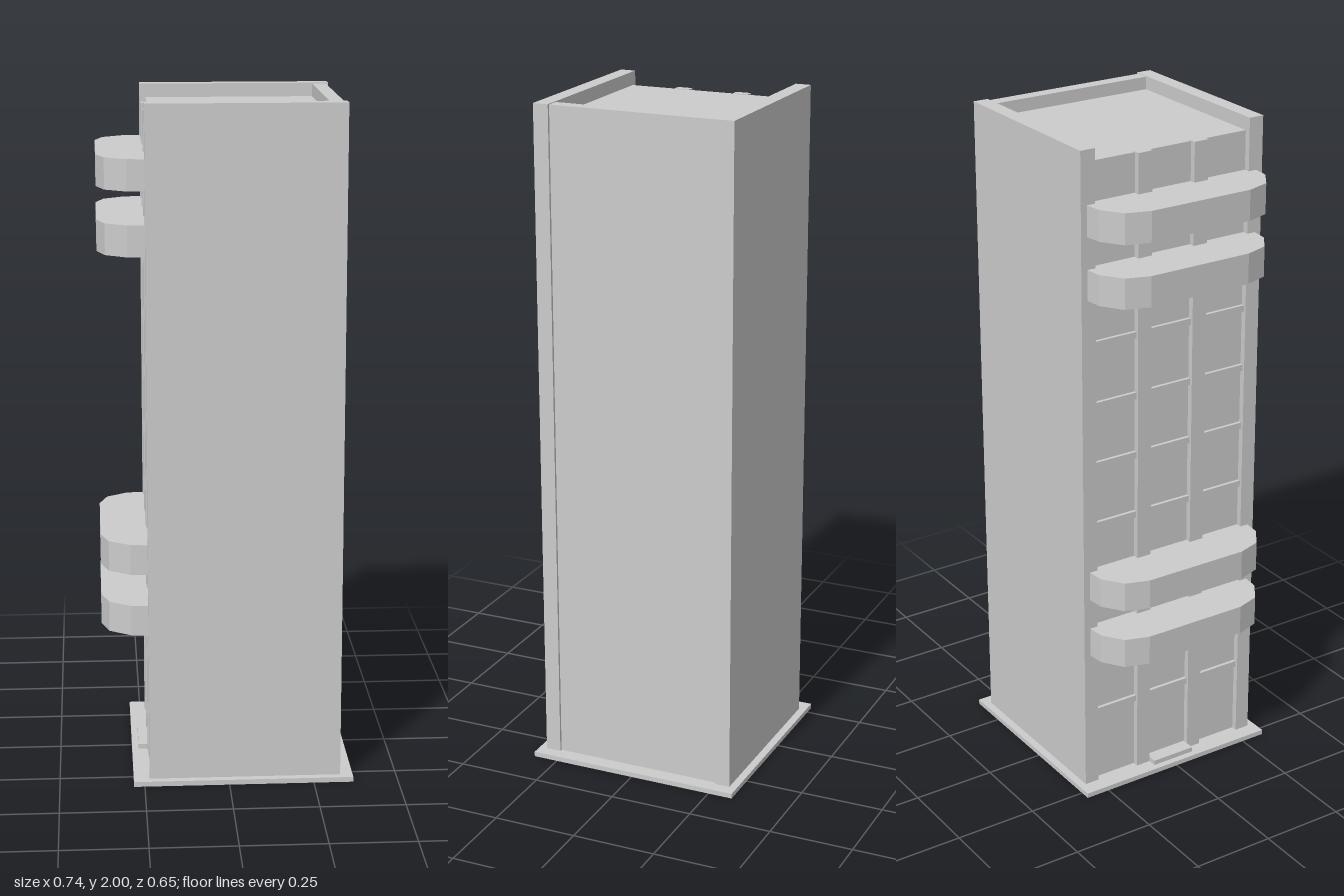
import * as THREE from 'three';

const material = new THREE.MeshStandardMaterial({ color: 0xcccccc, flatShading: true });

export function createModel() {
  const tower = new THREE.Group();
  tower.name = 'towerBlock';

  function add(name, geometry) {
    const mesh = new THREE.Mesh(geometry, material);
    mesh.name = name;
    tower.add(mesh);
    return mesh;
  }

  // Box given by its limits on each axis
  function box(name, x0, x1, y0, y1, z0, z1) {
    add(name, new THREE.BoxGeometry(x1 - x0, y1 - y0, z1 - z0))
      .position.set((x0 + x1) / 2, (y0 + y1) / 2, (z0 + z1) / 2);
  }

  // Ground plate and entrance step
  box('basePlate', -0.282, 0.367, 0, 0.015, -0.325, 0.325);
  box('entranceStep', -0.262, -0.215, 0.01, 0.03, -0.07, 0.07);

  // Core: its top is the sunken roof, its -x face the recessed facade
  box('core', -0.217, 0.29, 0.01, 1.96, -0.26, 0.26);

  // Outer walls, standing above the roof as a parapet on three sides
  box('rearWall', 0.282, 0.322, 0.01, 1.998, -0.256, 0.256);
  for (const s of [-1, 1]) {
    const z = [s * 0.256, s * 0.302].sort((a, b) => a - b);
    box('sideWall', -0.235, 0.33, 0.01, 2, z[0], z[1]);
  }

  // Vertical facade ribs
  for (const z of [-0.093, 0.093]) {
    box('facadeRib', -0.235, -0.21, 0.01, 1.962, z - 0.023, z + 0.023);
  }

  // Thin floor bands between the ribs
  for (const y of [0.25, 0.87, 1.06, 1.245, 1.43]) {
    box('floorBand', -0.227, -0.21, y - 0.01, y + 0.01, -0.256, 0.256);
  }

  // Solid balconies with faceted ends, drawn in plan and extruded upward
  const half = [[-0.215, 0.283], [-0.235, 0.282], [-0.285, 0.277], [-0.347, 0.234], [-0.37, 0.163]];
  const plan = [...half, ...half.map(([x, z]) => [x, -z]).reverse()];
  const shape = new THREE.Shape(plan.map(([x, z]) => new THREE.Vector2(x, z)));
  const balcony = new THREE.ExtrudeGeometry(shape, { depth: 0.09, bevelEnabled: false });
  balcony.rotateX(-Math.PI / 2);
  for (const y of [0.455, 0.64, 1.57, 1.755]) {
    add('balcony', balcony).position.y = y;
  }

  return tower;
}
